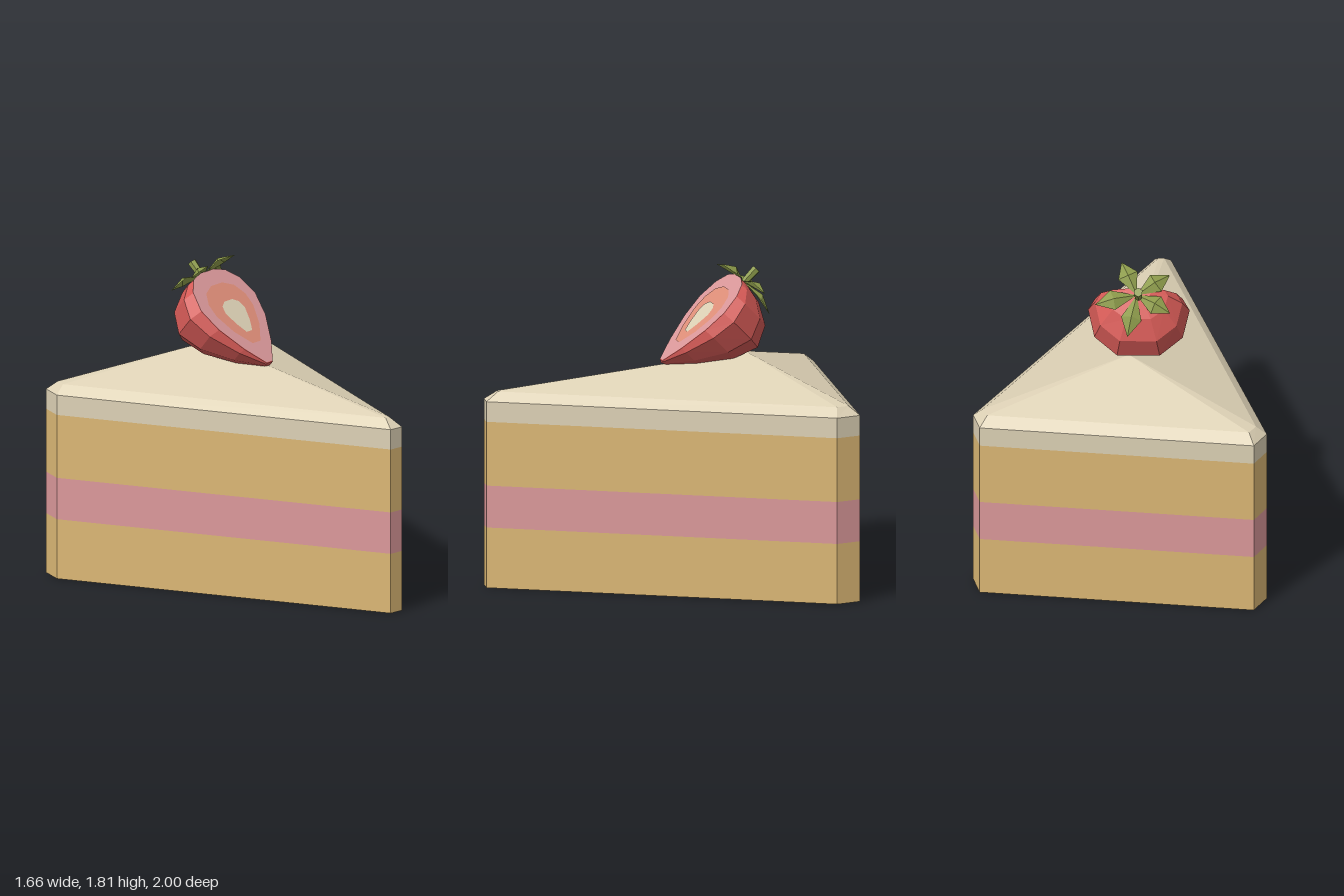
import * as THREE from 'three';

const V = (x, y, z) => new THREE.Vector3(x, y, z);
const mat = (name, color, extra = {}) =>
  Object.assign(new THREE.MeshStandardMaterial({ color, flatShading: true, ...extra }), { name });

const mats = {
  sponge: mat('sponge', 0xdcb875),
  pink: mat('pink filling', 0xdc999b),
  cream: mat('cream', 0xded2b6),
  red: mat('berry red', 0xd55a56),
  salmon: mat('berry flesh', 0xe08f79),
  green: mat('leaf green', 0x8d9b4b, { side: THREE.DoubleSide }),
};

function triangles(points) {
  const g = new THREE.BufferGeometry().setFromPoints(points);
  g.computeVertexNormals();
  return g;
}

// Skin between equal rings, bottom to top; optional fan points close the ends
function loft(rings, bottom, top) {
  const p = [];
  const n = rings[0].length;
  const last = rings[rings.length - 1];
  for (let i = 0; i < n; i++) {
    const j = (i + 1) % n;
    for (let r = 0; r + 1 < rings.length; r++) {
      const a = rings[r], b = rings[r + 1];
      p.push(a[i], a[j], b[j], a[i], b[j], b[i]);
    }
    if (bottom) p.push(rings[0][j], rings[0][i], bottom);
    if (top) p.push(last[i], last[j], top);
  }
  return triangles(p);
}

function add(parent, name, geometry, material) {
  const m = new THREE.Mesh(geometry, material);
  m.name = name;
  parent.add(m);
  return m;
}

// Wedge outline with cut corners, and the smaller outline above the bevel
const outline = [[-0.045, 1], [0.045, 1], [0.83, -0.86], [0.775, -1], [-0.775, -1], [-0.83, -0.86]];
const inner = [[-0.015, 0.93], [0.015, 0.93], [0.77, -0.87], [0.74, -0.94], [-0.74, -0.94], [-0.77, -0.87]];
const ringAt = (pts, y) => pts.map(([x, z]) => V(x, y, z));

function makeCake() {
  const cake = new THREE.Group();
  cake.name = 'cakeSlice';
  const layer = (name, y0, y1, material, bottom) =>
    add(cake, name, loft([ringAt(outline, y0), ringAt(outline, y1)], bottom), material);
  layer('lowerSponge', 0, 0.345, mats.sponge, V(0, 0, -0.4));
  layer('filling', 0.345, 0.585, mats.pink);
  layer('upperSponge', 0.585, 0.95, mats.sponge);
  // Cream band, bevel and pointed top
  add(cake, 'creamTopping', loft(
    [ringAt(outline, 0.95), ringAt(outline, 1.065), ringAt(inner, 1.115)], null, V(0, 1.296, -0.475)), mats.cream);
  return cake;
}

// Flat symmetric plate on the cut face from [halfWidth, height] pairs, bottom to top
function plate(pairs, z) {
  const pts = [...pairs, ...pairs.map(([w, v]) => [-w, v]).reverse()];
  const shape = new THREE.Shape(pts.map(([x, y]) => new THREE.Vector2(x, y)));
  return new THREE.ShapeGeometry(shape).translate(0, 0, z);
}

function makeBerry() {
  const berry = new THREE.Group();
  berry.name = 'halfStrawberry';
  // Height, half width and depth of each section
  const sections = [
    [0, 0.03, 0.035], [0.12, 0.14, 0.155], [0.28, 0.245, 0.275], [0.42, 0.285, 0.33],
    [0.54, 0.245, 0.28], [0.61, 0.165, 0.17], [0.635, 0.07, 0.07],
  ];
  const half = [[0.86, 0], [1, 0.2], [0.87, 0.68], [0.42, 1]];
  const profile = [...half, ...half.map(([x, z]) => [-x, z]).reverse()];
  const rings = sections.map(([v, w, d]) => profile.map(([x, z]) => V(x * w, v, -z * d)));
  add(berry, 'berrySkin', loft(rings, V(0, -0.01, -0.015), V(0, 0.635, -0.035)), mats.red);

  // Cut face in three nested colours
  add(berry, 'cutFace', plate(sections.map(([v, w]) => [w * 0.86, v + 0.005]), 0.002), mats.pink);
  add(berry, 'cutFlesh', plate(
    [[0.035, 0.14], [0.115, 0.24], [0.165, 0.36], [0.165, 0.44], [0.125, 0.51], [0.05, 0.545]], 0.005), mats.salmon);
  add(berry, 'cutCore', plate(
    [[0.025, 0.215], [0.06, 0.28], [0.087, 0.36], [0.075, 0.405], [0.035, 0.43]], 0.008), mats.cream);

  // Stem
  const stem = add(berry, 'stem', new THREE.CylinderGeometry(0.026, 0.018, 0.16, 6), mats.green);
  stem.position.set(0, 0.66, -0.05);

  berry.position.set(0, 1.26, 0);
  berry.rotation.set(-Math.PI / 4, 0.08, 0.08);
  return berry;
}

// Folded kite leaves, fanned around the stem
function makeLeaves() {
  const leaves = new THREE.Group();
  leaves.name = 'leaves';
  const base = V(-0.045, 1.685, -0.475);
  const axis = V(-0.06, 0.7, -0.7).normalize();
  const tips = [
    V(0.06, 1.81, -0.335), V(-0.215, 1.755, -0.35), V(-0.24, 1.62, -0.54),
    V(-0.01, 1.495, -0.62), V(0.18, 1.655, -0.56),
  ];
  for (const tip of tips) {
    const dir = tip.clone().sub(base);
    const side = axis.clone().cross(dir).normalize().multiplyScalar(0.058);
    const mid = base.clone().addScaledVector(dir, 0.55).addScaledVector(axis, 0.04);
    const edge = base.clone().addScaledVector(dir, 0.58).addScaledVector(axis, 0.012);
    const l = edge.clone().add(side), r = edge.clone().sub(side);
    add(leaves, 'leaf', triangles([base, mid, l, l, mid, tip, base, r, mid, mid, r, tip]), mats.green);
  }
  return leaves;
}

export function createModel() {
  const model = new THREE.Group();
  model.name = 'strawberryCakeSlice';
  model.add(makeCake(), makeBerry(), makeLeaves());
  return model;
}
